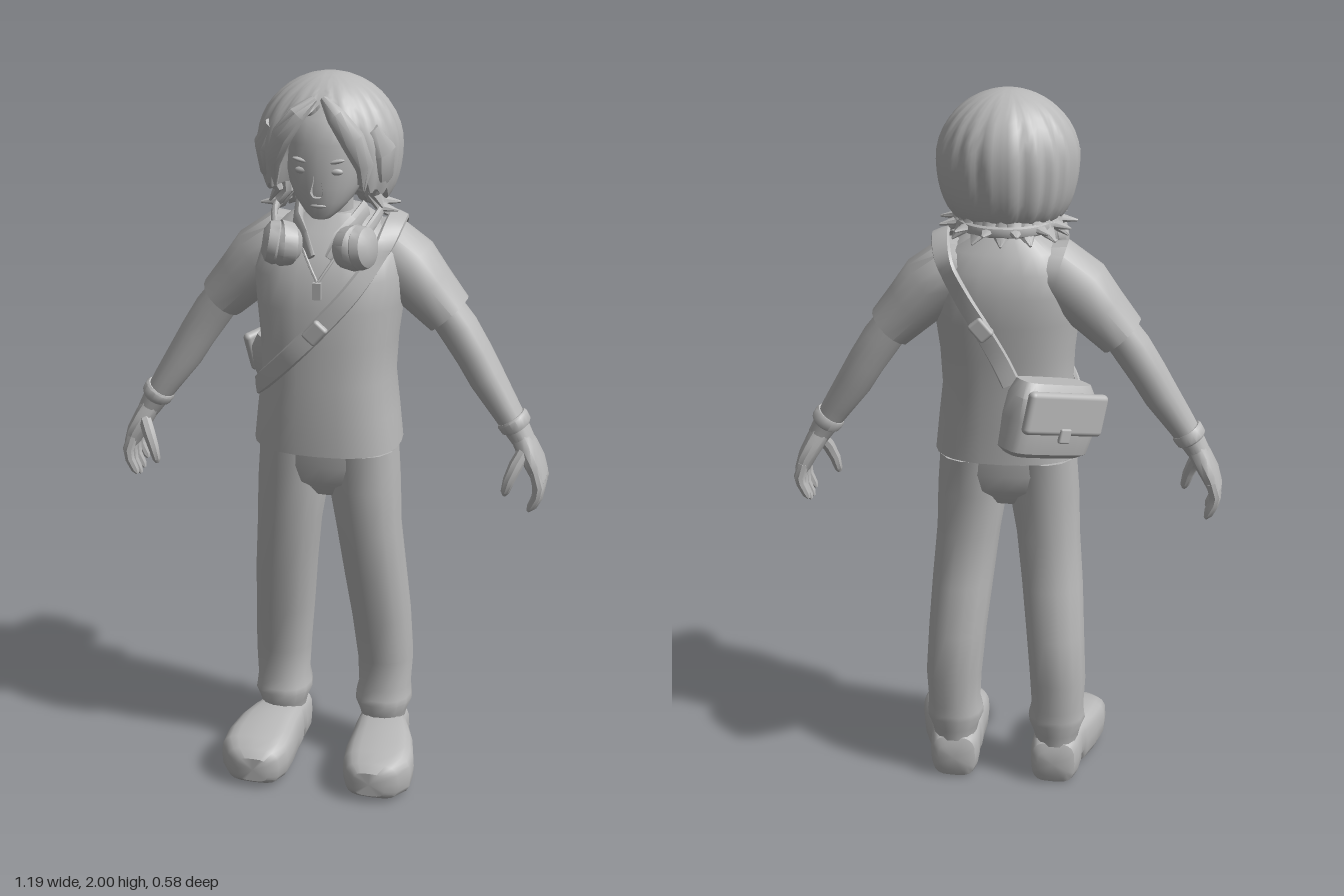
import * as THREE from 'three';
import { toCreasedNormals } from 'three/addons/utils/BufferGeometryUtils.js';
import { RoundedBoxGeometry } from 'three/addons/geometries/RoundedBoxGeometry.js';

const V = (x, y, z) => new THREE.Vector3(x, y, z);
const UP = V(0, 1, 0), FRONT = V(0, 0, 1);
const outward = p => V(p.x, 0, p.z - 0.03).normalize();

// Closed grid of rings, given rows of points
function skin(rows, crease = 0.7) {
  const n = rows[0].length, pos = [], idx = [];
  rows.forEach(r => r.forEach(p => pos.push(p.x, p.y, p.z)));
  for (let i = 0; i < rows.length - 1; i++) for (let j = 0; j < n; j++) {
    const k = (j + 1) % n, a = i * n + j, b = a + n, c = i * n + k, d = c + n;
    idx.push(a, b, c, b, d, c);
  }
  [0, rows.length - 1].forEach((r, end) => {
    const m = rows[r].reduce((s, p) => s.add(p), V(0, 0, 0)).divideScalar(n);
    const c = pos.length / 3;
    pos.push(m.x, m.y, m.z);
    for (let j = 0; j < n; j++) {
      const k = (j + 1) % n;
      idx.push(c, r * n + (end ? k : j), r * n + (end ? j : k));
    }
  });
  const g = new THREE.BufferGeometry();
  g.setAttribute('position', new THREE.Float32BufferAttribute(pos, 3));
  g.setIndex(idx);
  return toCreasedNormals(g, crease);
}

// Superellipse sections [x, y, z, halfWidth, halfDepth] along a path
function loft(secs, { n = 16, p = 2, ref = FRONT, dir = null, side = 1 } = {}) {
  const c = secs.map(s => V(s[0] * side, s[1], s[2]));
  const pw = v => Math.sign(v) * Math.abs(v) ** (2 / p);
  return skin(secs.map((s, i) => {
    const T = dir || c[Math.min(i + 1, c.length - 1)].clone().sub(c[Math.max(i - 1, 0)]).normalize();
    const A = T.clone().cross(typeof ref === 'function' ? ref(c[i]) : ref).normalize();
    const B = A.clone().cross(T);
    return Array.from({ length: n }, (_, j) => {
      const t = j / n * Math.PI * 2;
      return c[i].clone().addScaledVector(A, s[3] * pw(Math.cos(t))).addScaledVector(B, s[4] * pw(Math.sin(t)));
    });
  }));
}

// Smooth path with constant section
function band(points, w, d, opts, steps = 40) {
  const curve = new THREE.CatmullRomCurve3(points.map(q => V(...q)));
  return loft(curve.getPoints(steps).map(q => [q.x, q.y, q.z, w, d]), opts);
}

const TORSO = [
  [0, 1.005, .055, .2, .16], [0, 1.1, .055, .19, .162], [0, 1.2, .05, .178, .16], [0, 1.3, .045, .183, .16],
  [0, 1.4, .035, .195, .162], [0, 1.48, .025, .203, .155], [0, 1.54, .015, .19, .135],
  [0, 1.59, .005, .15, .105], [0, 1.635, 0, .085, .07]];

// Point on the shirt, s = 1 front or -1 back
function onShirt(x, y, s, gap = .008) {
  let i = 0;
  while (i < TORSO.length - 2 && TORSO[i + 1][1] < y) i++;
  const t = (y - TORSO[i][1]) / (TORSO[i + 1][1] - TORSO[i][1]);
  const [, , cz, a, b] = TORSO[i].map((v, k) => v + (TORSO[i + 1][k] - v) * t);
  const u = Math.min(Math.abs(x / a), 1);
  return [x, y, cz + s * (b * (1 - u ** 2.5) ** .4 + gap)];
}

// Swept hair cap with a face opening and strand grooves
function hairCap() {
  const edge = [[0, 1.94], [.1, 1.9], [.17, 1.85], [.22, 1.79], [.27, 1.73], [.4, 1.72], [.5, 1.69], [1, 1.665]];
  const n = 120, rows = [], R = 16;
  for (let i = 0; i <= R + 1; i++) rows.push(Array.from({ length: n }, (_, j) => {
    const th = j / n * Math.PI * 2, t = 1 - Math.abs(1 - j / n * 2);
    let k = 0;
    while (k < edge.length - 2 && edge[k + 1][0] < t) k++;
    const f = (t - edge[k][0]) / (edge[k + 1][0] - edge[k][0]);
    const strand = Math.abs(Math.sin(t * Math.PI * 10 + .3 * Math.sin(t * 17)));
    const yE = edge[k][1] + f * (edge[k + 1][1] - edge[k][1]) - .018 * strand * Math.min(1, t * 5);
    const inner = i > R, phi = Math.max(.04, Math.acos((yE - 1.82) / .18) * Math.min(i / R, 1));
    const s = Math.sin(phi), groove = .96 + .05 * strand * s - .05 * Math.exp(-((t / .03) ** 2)) * s;
    const r = (phi > Math.PI / 2 ? s ** .4 : s) * groove * (inner ? .8 : 1);
    return V(.188 * r * Math.sin(th), 1.82 + .18 * Math.cos(phi) + (inner ? .01 : 0), .04 + .175 * r * Math.cos(th));
  }));
  return skin(rows, .9);
}

export function createModel() {
  const root = new THREE.Group();
  const clay = new THREE.MeshStandardMaterial({ color: 0xb8b8b8 });
  clay.name = 'clay grey';
  const add = (name, geo, parent = root) => {
    const m = new THREE.Mesh(geo, clay);
    m.name = name;
    parent.add(m);
    return m;
  };
  const ball = (name, x, y, z, a, b, c) => {
    const m = add(name, new THREE.SphereGeometry(1, 16, 12));
    m.position.set(x, y, z);
    m.scale.set(a, b, c);
    return m;
  };

  // Shirt and hips
  add('shirt', loft(TORSO, { n: 28, p: 2.5, dir: UP }));
  add('hips', loft([[0, .85, .05, .06, .06], [0, .9, .05, .17, .1], [0, .95, .05, .19, .112], [0, 1.02, .05, .19, .115]],
    { n: 24, p: 2.4, dir: UP }));

  // Head, neck and face
  add('neck', loft([[0, 1.54, -.005, .07, .07], [0, 1.62, .01, .055, .055], [0, 1.74, .03, .055, .055]], { dir: UP }));
  add('head', loft([[0, 1.645, .14, .025, .028], [0, 1.66, .125, .045, .05], [0, 1.69, .1, .073, .08], [0, 1.73, .08, .095, .105],
    [0, 1.78, .07, .108, .112], [0, 1.84, .06, .115, .12], [0, 1.9, .05, .11, .112], [0, 1.95, .04, .07, .07]], { n: 24, p: 2.2, dir: UP }));
  add('nose', loft([[0, 1.8, .172, .007, .008], [0, 1.75, .186, .01, .012], [0, 1.72, .192, .017, .02], [0, 1.708, .186, .012, .012]],
    { n: 8, dir: UP }));
  ball('lips', 0, 1.682, .174, .022, .006, .008);

  // Hair
  add('hairCap', hairCap());
  for (let k = 0; k < 15; k++) {
    const th = Math.PI * (.46 + 1.08 * k / 14), hi = k % 2;
    const at = (r, y) => [r * Math.sin(th), y, .035 + r * Math.cos(th) * .97];
    add('napeLock', loft([[...at(.12, 1.74), .03, .02], [...at(.115, 1.69), .03, .02],
      [...at(.14, 1.655 - hi * .015), .022, .014], [...at(.185 - hi * .02, 1.65 - hi * .03), .003, .003]], { n: 8, ref: outward }));
  }

  for (const side of [1, -1]) {
    const o = { side };
    // Face details and fringe
    ball('eye', side * .042, 1.772, .168, .021, .01, .01);
    ball('brow', side * .043, 1.798, .17, .026, .006, .009).rotation.z = side * .2;
    add('fringeLock', loft([[.012, 1.955, .165, .01, .01], [.05, 1.92, .193, .025, .016], [.092, 1.86, .188, .032, .018],
      [.118, 1.79, .165, .027, .018], [.115, 1.725, .16, .004, .004]], { ...o, n: 8, ref: outward }));
    add('sideLock', loft([[.13, 1.88, .14, .02, .015], [.158, 1.82, .12, .04, .022], [.152, 1.75, .1, .034, .02],
      [.128, 1.7, .09, .02, .014], [.15, 1.665, .09, .003, .003]], { ...o, n: 8, ref: outward }));

    // Collar, necklace and headphone cups
    add('collar', loft([[.088, 1.63, .02, .014, .035], [.075, 1.61, .09, .014, .035], [.05, 1.58, .135, .01, .035],
      [.022, 1.54, .158, .008, .012]], { ...o, n: 8, ref: UP }));
    add('necklace', band([[side * .07, 1.62, .06], onShirt(side * .055, 1.57, 1, .012), onShirt(side * .025, 1.52, 1, .01),
      onShirt(0, 1.48, 1)], .004, .004, { n: 6 }, 12));
    add('headphoneCup', loft([[.066, 1.572, .155, .04, .04], [.074, 1.574, .162, .057, .055], [.1, 1.578, .175, .062, .06],
      [.105, 1.578, .176, .056, .054], [.112, 1.58, .178, .06, .058], [.132, 1.584, .184, .054, .052], [.145, 1.586, .187, .03, .03]],
      { ...o, n: 20, ref: UP }));

    // Sleeve, arm and wristband
    add('sleeve', loft([[.07, 1.52, -.01, .08, .08], [.14, 1.525, -.01, .092, .098], [.2, 1.48, -.01, .09, .097], [.25, 1.425, -.01, .078, .087],
      [.313, 1.358, -.01, .066, .078], [.308, 1.363, -.01, .055, .066]], o));
    add('arm', loft([[.28, 1.4, -.005, .05, .058], [.34, 1.32, -.005, .054, .056], [.385, 1.25, -.002, .051, .054],
      [.42, 1.19, .002, .049, .052], [.47, 1.115, .01, .041, .046], [.512, 1.05, .015, .034, .041], [.53, 1.02, .015, .03, .04]], o));
    add('wristband', loft([[.49, 1.087, .012, .041, .046], [.494, 1.081, .012, .045, .05], [.506, 1.063, .013, .043, .049],
      [.509, 1.058, .013, .037, .045]], o));

    // Hand with fingers
    add('palm', loft([[.515, 1.045, .015, .028, .036], [.535, 1.01, .016, .029, .05], [.56, .965, .016, .026, .06],
      [.576, .925, .014, .02, .058]], { ...o, p: 2.5, n: 12 }));
    for (let f = 0; f < 4; f++) {
      const z = -.03 + f * .03, drop = [.02, .004, 0, .012][f];
      add('finger', loft([[.566, .95, z, .015, .015], [.578, .91, z * 1.1, .016, .015], [.574, .87 + drop, z * 1.1, .014, .014],
        [.56, .84 + drop, z * 1.1, .012, .012], [.553, .828 + drop, z * 1.1, .005, .006]], { ...o, n: 8 }));
    }
    add('thumb', loft([[.535, 1.01, .045, .018, .018], [.515, .97, .068, .019, .018], [.499, .93, .078, .016, .016],
      [.49, .895, .08, .012, .012], [.488, .885, .08, .005, .005]], { ...o, n: 8 }));

    // Trouser leg and shoe
    add('trouserLeg', loft([[.148, .115, -.005, .06, .07], [.148, .15, -.002, .068, .077], [.148, .185, -.002, .082, .084],
      [.148, .2, -.004, .08, .082], [.15, .23, -.008, .075, .078], [.15, .32, -.012, .08, .081], [.14, .46, .003, .083, .095],
      [.128, .6, .032, .087, .092], [.113, .75, .052, .09, .095], [.1, .88, .052, .099, .105], [.095, .99, .05, .096, .112]],
      { ...o, n: 14, p: 2.2, dir: UP }));
    add('shoe', loft([[.145, .065, -.08, .045, .04], [.145, .066, -.07, .062, .063], [.147, .07, -.04, .07, .07], [.15, .071, .012, .072, .071],
      [.151, .083, .016, .072, .06], [.155, .084, .04, .075, .061], [.157, .074, .052, .08, .074], [.168, .074, .11, .09, .074],
      [.175, .07, .18, .099, .07], [.177, .066, .23, .097, .065], [.172, .062, .27, .076, .054], [.168, .06, .29, .045, .036]],
      { ...o, n: 20, p: 3.4, ref: UP, dir: FRONT }));
  }

  // Pendant and headphone band
  const pendant = add('pendant', new THREE.BoxGeometry(.022, .045, .014));
  pendant.position.set(...onShirt(0, 1.46, 1));
  add('headphoneBand', band([[.12, 1.61, .16], [.138, 1.645, .08], [.125, 1.655, -.02], [.07, 1.655, -.09], [0, 1.655, -.11],
    [-.07, 1.655, -.09], [-.125, 1.655, -.02], [-.138, 1.645, .08], [-.12, 1.61, .16]], .015, .009, { n: 8, ref: outward }));

  // Shoulder strap, over the left shoulder to the bag
  add('strap', band([[-.16, 1.13, -.12], [-.195, 1.13, -.03], [-.19, 1.145, .08], onShirt(-.155, 1.19, 1), onShirt(-.08, 1.27, 1),
    onShirt(0, 1.355, 1), onShirt(.09, 1.46, 1), [.15, 1.555, .115], [.172, 1.61, .05], [.172, 1.62, -.02], [.15, 1.57, -.105],
    onShirt(.1, 1.48, -1), onShirt(.05, 1.4, -1), [0, 1.31, -.13], [-.03, 1.25, -.135]], .026, .009,
    { n: 8, p: 4, ref: q => V(q.x * .6, q.y > 1.55 ? (q.y - 1.55) * 4 : 0, q.z - .03).normalize() }, 80));
  [[0, 1.355, 1], [.05, 1.4, -1]].forEach(([x, y, s]) => {
    const b = add('buckle', new RoundedBoxGeometry(.06, .045, .03, 2, .008));
    b.position.set(...onShirt(x, y, s, .014));
    b.rotation.z = .85;
  });

  // Shoulder bag with flap
  const bag = new THREE.Group();
  bag.name = 'bag';
  bag.position.set(-.135, 1.165, -.155);
  bag.rotation.set(0, .75, .25, 'YXZ');
  root.add(bag);
  add('bagBody', loft([[0, -.1, .01, .11, .04], [0, -.085, .005, .13, .055], [0, 0, 0, .135, .066], [0, .06, .005, .13, .06],
    [0, .1, .015, .112, .04]], { n: 20, p: 4, dir: UP }), bag);
  add('bagFlap', new RoundedBoxGeometry(.262, .115, .03, 3, .014), bag).position.set(0, .03, -.058);
  add('bagClasp', new RoundedBoxGeometry(.035, .04, .014, 2, .005), bag).position.set(0, -.025, -.073);
  return root;
}
